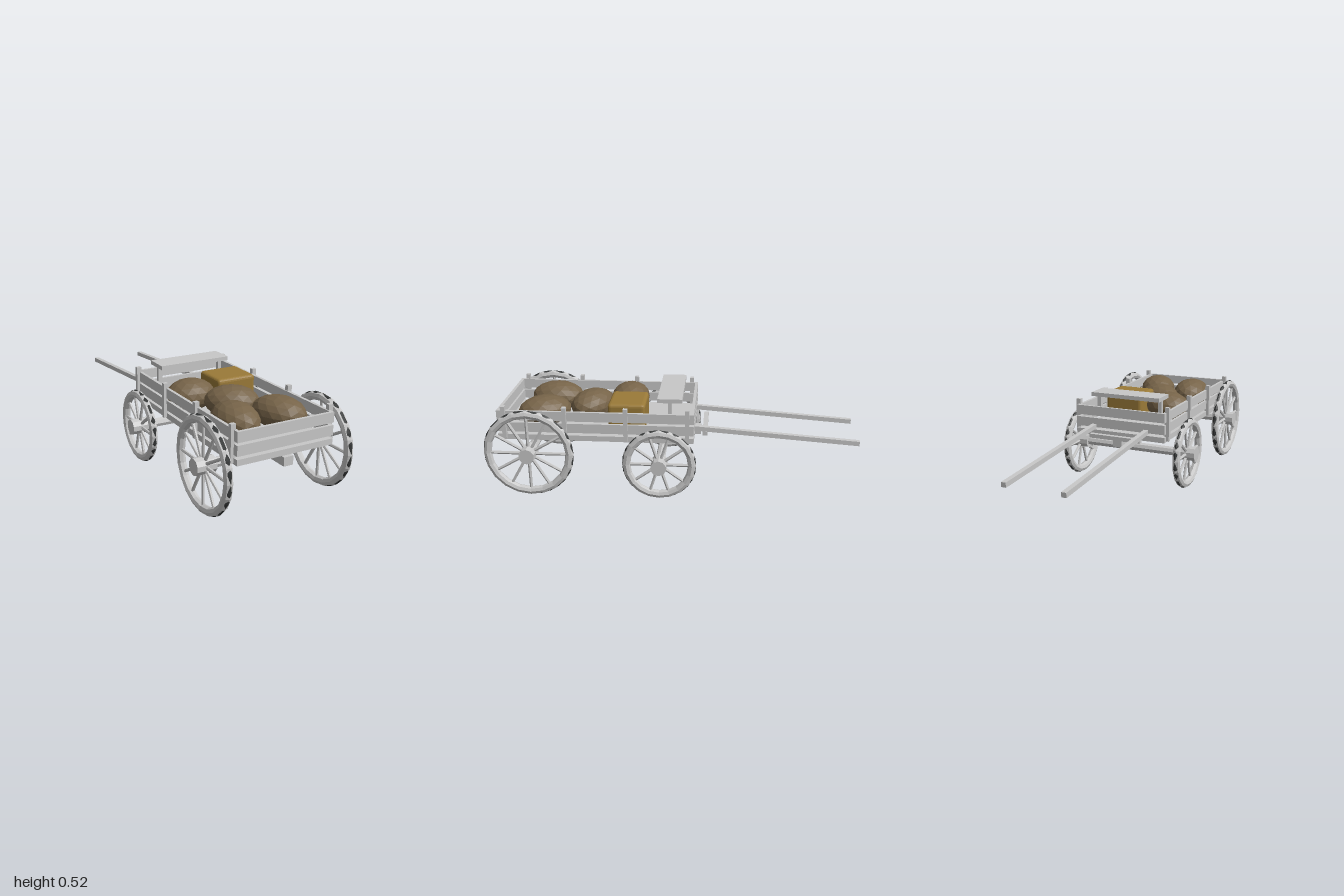
import * as THREE from 'three';
import { RoundedBoxGeometry } from 'three/addons/geometries/RoundedBoxGeometry.js';

function material(name, color) {
  const m = new THREE.MeshStandardMaterial({ color, flatShading: true });
  m.name = name;
  return m;
}

export function createModel() {
  const wood = material('pale wood', 0xc8c8c8);
  const iron = material('dark iron', 0x383a3a);
  const sackcloth = material('brown sackcloth', 0x776449);
  const straw = material('golden crate', 0x9a7a38);

  const cart = new THREE.Group();
  cart.name = 'cart';

  const add = (parent, name, geometry, mat, x = 0, y = 0, z = 0) => {
    const mesh = new THREE.Mesh(geometry, mat);
    mesh.name = name;
    mesh.position.set(x, y, z);
    parent.add(mesh);
    return mesh;
  };
  const box = (name, w, h, d, x, y, z) =>
    add(cart, name, new THREE.BoxGeometry(w, h, d), wood, x, y, z);

  // Bed: floor, central beam under it
  const midZ = 0.41, bedLength = 1.05;
  box('floor', 0.53, 0.03, bedLength, 0, 0.31, midZ);
  box('centreBeam', 0.052, 0.045, 1.1, 0, 0.2725, 0.405);

  // Two rows of planks on all four sides
  for (const y of [0.366, 0.431]) {
    for (const s of [-1, 1]) {
      box('sidePlank', 0.016, 0.052, bedLength, s * 0.257, y, midZ);
      box('endPlank', 0.53, 0.052, 0.016, 0, y, midZ + s * 0.517);
    }
  }

  // Upright posts along both sides
  for (const s of [-1, 1]) {
    for (const z of [-0.08, 0.245, 0.57, 0.895]) {
      box('sidePost', 0.025, 0.185, 0.022, s * 0.268, 0.3925, z);
    }
  }

  // Bench on two legs
  box('seat', 0.41, 0.022, 0.132, 0, 0.51, 0.016);
  for (const s of [-1, 1]) box('seatLeg', 0.022, 0.08, 0.02, s * 0.186, 0.46, 0.016);

  // Sloping shafts and the bar between them
  const near = new THREE.Vector2(-0.09, 0.347), far = new THREE.Vector2(-0.998, 0.28);
  const run = far.clone().sub(near);
  for (const s of [-1, 1]) {
    const shaft = box('shaft', 0.026, 0.025, run.length(),
      s * 0.157, (near.y + far.y) / 2, (near.x + far.x) / 2);
    shaft.rotation.x = Math.atan2(run.y, -run.x);
  }
  box('shaftCrossbar', 0.3, 0.022, 0.026, 0, 0.308, -0.171);

  // Spoked wheel, built in the xy plane then turned to face sideways
  const makeWheel = (name, radius, spokes) => {
    const wheel = new THREE.Group();
    wheel.name = name;
    const tube = 0.022, hubR = 0.042;
    add(wheel, 'rim', new THREE.TorusGeometry(radius - tube, tube, 8, 20), wood);
    add(wheel, 'tyre', new THREE.TorusGeometry(radius - 0.0135, 0.0135, 6, 28), iron);
    const hub = add(wheel, 'hub', new THREE.CylinderGeometry(hubR, hubR, 0.104, 10), wood);
    hub.rotation.x = Math.PI / 2;
    const length = radius - tube - 0.02;
    for (let i = 0; i < spokes; i++) {
      const a = (i / spokes) * Math.PI * 2;
      const r = 0.02 + length / 2;
      const spoke = add(wheel, 'spoke', new THREE.CylinderGeometry(0.008, 0.009, length, 6),
        wood, Math.cos(a) * r, Math.sin(a) * r, 0);
      spoke.rotation.z = a - Math.PI / 2;
    }
    wheel.rotation.y = Math.PI / 2;
    return wheel;
  };

  // Axles with a wheel at either end
  const axles = [
    { end: 'front', z: 0.063, y: 0.202, radius: 0.196, spokes: 10 },
    { end: 'rear', z: 0.757, y: 0.246, radius: 0.242, spokes: 12 },
  ];
  for (const { end, z, y, radius, spokes } of axles) {
    const axle = add(cart, end + 'Axle', new THREE.CylinderGeometry(0.025, 0.025, 0.62, 8),
      wood, 0, y, z);
    axle.rotation.z = Math.PI / 2;
    for (const s of [-1, 1]) {
      const wheel = makeWheel(end + 'Wheel', radius, spokes);
      wheel.position.set(s * 0.333, y, z);
      cart.add(wheel);
    }
  }

  // Load: bulging sacks [x, z, half width, half length, turn]
  const sacks = [
    [-0.13, 0.265, 0.107, 0.13, 1.45],
    [0, 0.46, 0.105, 0.142, 1.0],
    [-0.12, 0.685, 0.106, 0.147, 0.05],
    [0.116, 0.707, 0.107, 0.145, 0.4],
  ];
  for (const [x, z, rx, rz, turn] of sacks) {
    const sack = add(cart, 'sack', new THREE.IcosahedronGeometry(1, 2), sackcloth, x, 0.41, z);
    sack.scale.set(rx, 0.083, rz);
    sack.rotation.y = turn;
  }

  // Load: soft-edged crate
  add(cart, 'crate', new RoundedBoxGeometry(0.224, 0.152, 0.2, 2, 0.018), straw,
    0.102, 0.411, 0.247);

  return cart;
}
